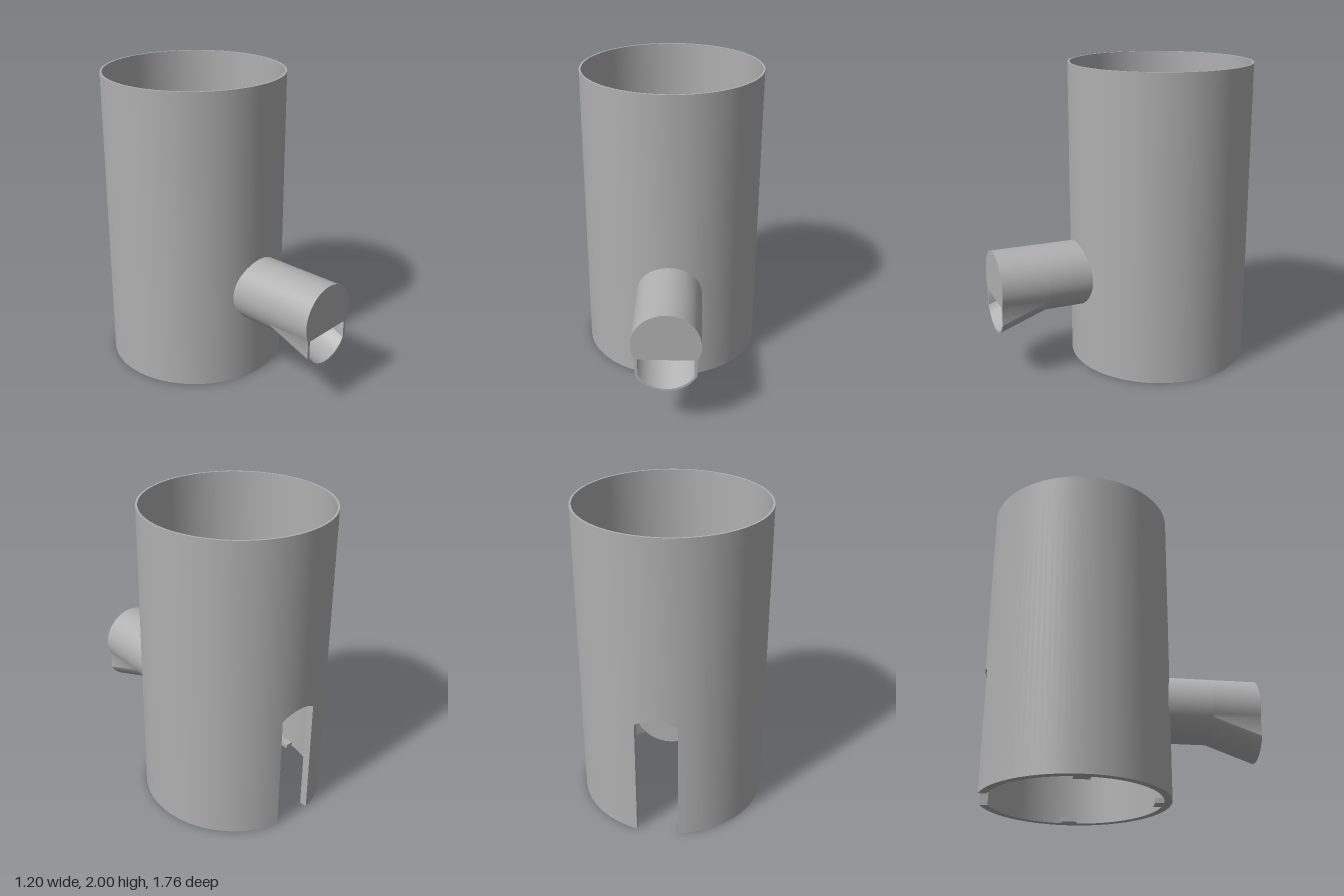
import * as THREE from 'three';
import { toCreasedNormals } from 'three/addons/utils/BufferGeometryUtils.js';

const BODY_Z = -0.28;                 // axis of the upright body
const AXIS_Y = 0.63, R = 0.215, BORE = 0.2; // horizontal auger tube
const CEIL = 0.845, CUT = 0.53;       // bay ceiling, top of outlet opening
const HALF_X = 0.12, Z0 = -0.28, Z1 = 0.12; // feed opening
const SLOT = 0.133;                   // half width of the rear slot

// Skin a list of closed cross-sections
function sweep(sections, closed = false) {
  const pos = [], n = sections[0].length, m = sections.length;
  for (let i = 0; i < (closed ? m : m - 1); i++) {
    const A = sections[i], B = sections[(i + 1) % m];
    for (let j = 0; j < n; j++) {
      const k = (j + 1) % n;
      pos.push(...A[j], ...A[k], ...B[k], ...A[j], ...B[k], ...B[j]);
    }
  }
  const g = new THREE.BufferGeometry();
  g.setAttribute('position', new THREE.Float32BufferAttribute(pos, 3));
  return toCreasedNormals(g, 0.5);
}

// Outline of the spout: round above, lower arc dropped by "drop"
function spoutOutline(r, drop, lowerOnly = false) {
  const pts = [], a0 = Math.asin((CUT - AXIS_Y) / r);
  const arc = (from, to, n, dy) => {
    for (let i = 0; i <= n; i++) {
      const a = from + (to - from) * i / n;
      pts.push([r * Math.cos(a), AXIS_Y + r * Math.sin(a) - dy]);
    }
  };
  if (lowerOnly) pts.push([r * Math.cos(a0), CUT], [-r * Math.cos(a0), CUT]);
  else arc(a0, Math.PI - a0, 36, 0);
  arc(Math.PI - a0, 2 * Math.PI + a0, 24, drop);
  return pts;
}
const toV2 = pts => pts.map(p => new THREE.Vector2(p[0], p[1]));

export function createModel() {
  const group = new THREE.Group();
  const grey = new THREE.MeshStandardMaterial({ color: 0xb0b0b0, side: THREE.DoubleSide });
  grey.name = 'grey plastic';
  const add = (name, geo, x = 0, y = 0, z = 0) => {
    const mesh = new THREE.Mesh(geo, grey);
    mesh.name = name;
    mesh.position.set(x, y, z);
    group.add(mesh);
    return mesh;
  };

  // Body wall: one closed ring of profiles, raised over the arched rear slot
  const profile = y0 => [[0.6, y0], [0.6, 2], [0.587, 2], [0.587, 1.35], [0.55, 1.35], [0.55, y0]];
  const wall = [];
  for (let i = 0; i <= 96; i++) {
    wall.push(profile(0).map(([r, y]) => {
      const a = Math.asin(SLOT / r), t = a + (2 * Math.PI - 2 * a) * i / 96;
      return [r * Math.sin(t), y, -r * Math.cos(t)];
    }));
  }
  for (let i = 0; i <= 16; i++) {
    const x = -SLOT + 2 * SLOT * i / 16;
    const top = AXIS_Y + Math.sqrt(R * R - x * x);
    wall.push(profile(top).map(([r, y]) => {
      const s = x * r / 0.6, k = y > top ? s : x;
      return [k, y, -Math.sqrt(r * r - k * k)];
    }));
  }
  // keep the outer skin of the slot columns on the same lines as the jambs
  wall.slice(97).forEach(sec => sec.forEach(p => {
    const r = Math.hypot(p[0], p[2]), x = sec[0][0];
    p[0] = x; p[2] = -Math.sqrt(r * r - x * x);
  }));
  add('bodyWall', sweep(wall, true), 0, 0, BODY_Z);

  // Hopper funnel: round at the top, rectangular at the feed opening
  const ring = (y, round) => Array.from({ length: 96 }, (_, i) => {
    const t = i / 96 * 2 * Math.PI, s = Math.sin(t), c = Math.cos(t);
    if (round) return [0.587 * s, y, BODY_Z - 0.587 * c];
    const m = Math.max(Math.abs(s), Math.abs(c));
    return [HALF_X * s / m, y, (Z0 + Z1) / 2 - (Z1 - Z0) / 2 * c / m];
  });
  add('hopperFunnel', sweep([ring(0.785, false), ring(CEIL, false), ring(1.35, true)]));

  // Flat ceiling of the lower bay, open at the feed opening
  const ceiling = new THREE.Shape().absarc(0, 0, 0.555, 0, Math.PI * 2);
  ceiling.holes.push(new THREE.Path(toV2([
    [-HALF_X, Z0 - BODY_Z], [HALF_X, Z0 - BODY_Z], [HALF_X, Z1 - BODY_Z], [-HALF_X, Z1 - BODY_Z]])));
  add('bayCeiling', new THREE.ShapeGeometry(ceiling, 48).rotateX(Math.PI / 2), 0, CEIL, BODY_Z);

  // Auger tube, outside and bore, with a gap under the feed opening
  for (const [name, r] of [['augerTube', R], ['augerBore', BORE]]) {
    for (const [a, b, gap] of [[-0.47, Z0, 0], [Z0, Z1, Math.asin(HALF_X / r)], [Z1, 0.57, 0]]) {
      const g = new THREE.CylinderGeometry(r, r, b - a, 64, 1, true, Math.PI + gap, 2 * Math.PI - 2 * gap);
      add(name, g.rotateX(Math.PI / 2), 0, AXIS_Y, (a + b) / 2);
    }
  }
  add('augerTubeEnd', new THREE.CircleGeometry(R, 64).rotateY(Math.PI), 0, AXIS_Y, -0.47);

  // Spout with a chute sloping down to the outlet
  const DROP = 0.115;
  const loft = r => sweep([[0.57, 0], [0.88, DROP]].map(([z, d]) =>
    spoutOutline(r, d).map(([x, y]) => [x, y, z])));
  add('spoutOuter', loft(R));
  add('spoutInner', loft(BORE));
  const face = new THREE.Shape(toV2(spoutOutline(R, DROP)));
  face.holes.push(new THREE.Path(toV2(spoutOutline(BORE, DROP, true))));
  add('spoutFace', new THREE.ShapeGeometry(face), 0, 0, 0.88);

  // Auger screw: shaft and helical flight
  add('augerShaft', new THREE.CylinderGeometry(0.04, 0.04, 1.03, 24).rotateX(Math.PI / 2), 0, AXIS_Y, 0.045);
  const flight = [], PITCH = 0.3;
  for (let i = 0; i <= 108; i++) {
    const z = 0.55 - i / 108 * 0.99, t = (-0.1 - z) / PITCH * 2 * Math.PI;
    flight.push([[0.03, -0.01], [0.19, -0.008], [0.19, 0.008], [0.03, 0.01]].map(([r, dz]) =>
      [r * Math.sin(t), AXIS_Y + r * Math.cos(t), z + dz]));
  }
  add('augerFlight', sweep(flight));

  // Three locking lugs inside the bottom rim
  for (const a of [0, Math.PI / 2, -Math.PI / 2]) {
    const lug = add('lockingLug', new THREE.BoxGeometry(0.1, 0.03, 0.06),
      0.525 * Math.sin(a), 0.015, BODY_Z + 0.525 * Math.cos(a));
    lug.rotation.y = a;
  }
  return group;
}
